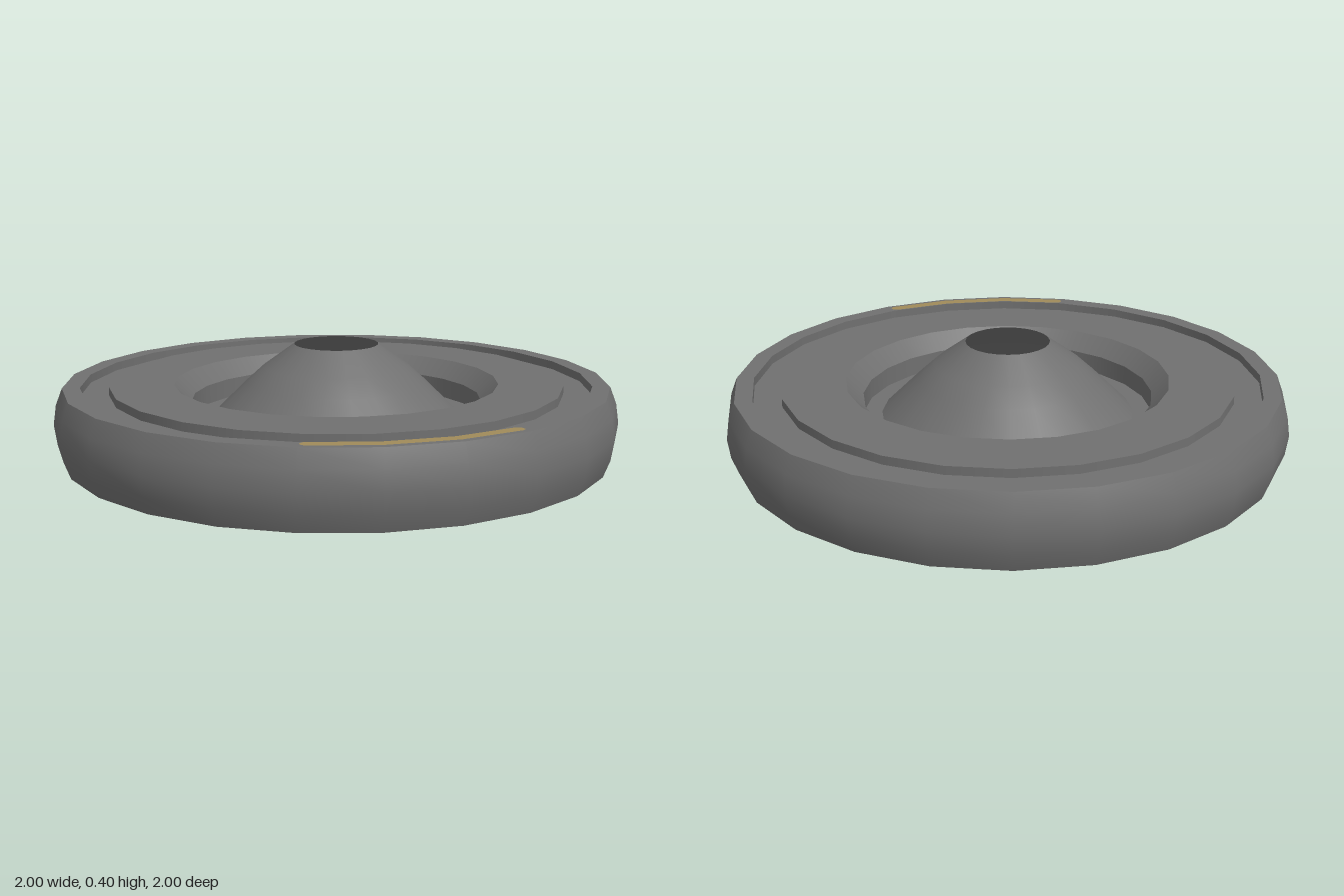
import * as THREE from 'three';

const SIDES = 24;
const STEP = (2 * Math.PI) / SIDES;

function makeMaterial(name, color) {
  const material = new THREE.MeshStandardMaterial({ color, side: THREE.DoubleSide });
  material.name = name;
  return material;
}

// Sweeps each profile piece separately so the edges between pieces stay sharp.
function latheGroup(name, pieces, material) {
  const group = new THREE.Group();
  group.name = name;
  for (const [part, points] of Object.entries(pieces)) {
    const profile = points.map(([r, y]) => new THREE.Vector2(r, y));
    const mesh = new THREE.Mesh(new THREE.LatheGeometry(profile, SIDES), material);
    mesh.name = part;
    group.add(mesh);
  }
  return group;
}

// Flat horizontal plate; outline points are (x, -z).
function plate(name, outline, y, material, faceUp) {
  const geometry = new THREE.ShapeGeometry(new THREE.Shape(outline));
  geometry.rotateX(-Math.PI / 2);
  if (!faceUp) {
    geometry.index.array.reverse();
    geometry.attributes.normal.array.forEach((n, i, all) => { all[i] = -n; });
  }
  const mesh = new THREE.Mesh(geometry, material);
  mesh.name = name;
  mesh.position.y = y;
  return mesh;
}

// Point at an angle measured from the front (+z) towards +x
const at = (r, a) => new THREE.Vector2(r * Math.sin(a), -r * Math.cos(a));

export function createModel() {
  const grey = makeMaterial('grey', 0x707070);
  const lightGrey = makeMaterial('lightGrey', 0x979797);
  const tan = makeMaterial('tan', 0xa08b5a);

  const model = new THREE.Group();
  model.name = 'wheel';

  // Outer ring with bulging tread and a shallow groove on its face
  model.add(latheGroup('outerRing', {
    tread: [[0.967, 0], [0.99, 0.06], [1, 0.13], [0.99, 0.2], [0.967, 0.26]],
    rimFace: [[0.967, 0.26], [0.905, 0.26]],
    grooveOuterWall: [[0.905, 0.26], [0.905, 0.23]],
    grooveFloor: [[0.905, 0.23], [0.805, 0.23]],
    grooveInnerWall: [[0.805, 0.23], [0.805, 0.26]],
    innerFace: [[0.805, 0.26], [0.577, 0.26]],
    underside: [[0.577, 0], [0.967, 0]],
  }, grey));

  // Hub: bevelled recess, flat ledge and hollow, open-topped cone
  model.add(latheGroup('hub', {
    bevel: [[0.577, 0.26], [0.517, 0.2]],
    recessWall: [[0.517, 0.2], [0.517, 0.13]],
    ledge: [[0.517, 0.13], [0.452, 0.13]],
    cone: [[0.452, 0.13], [0.32, 0.26], [0.26, 0.315], [0.15, 0.395]],
  }, grey));

  // Lighter walls of the narrow gap around the base plate
  model.add(latheGroup('baseGap', {
    boreWall: [[0.577, 0.2], [0.577, 0]],
    baseWall: [[0.517, 0], [0.517, 0.13]],
  }, lightGrey));

  // Base plate: a broad dark band between two lighter segments
  const rim = (from, to) => {
    const points = [];
    for (let i = from; i <= to; i++) points.push(at(0.517, i * STEP));
    return points;
  };
  model.add(plate('baseBand', [...rim(4, 9), ...rim(16, 21)], 0, grey, false));
  model.add(plate('baseSegmentFront', rim(-3, 4), 0, lightGrey, false));
  model.add(plate('baseSegmentBack', rim(9, 16), 0, lightGrey, false));

  // Painted arc with rounded ends, following the rim facets
  const mid = 0.926, half = 0.021, inset = half / mid;
  const angles = [inset, STEP, 2 * STEP, 3 * STEP - inset];
  const outline = angles.map((a) => at(mid + half, a));
  const cap = (a, sign) => {
    for (let i = 1; i < 6; i++) {
      const t = (i / 6) * Math.PI;
      outline.push(at(mid + sign * half * Math.cos(t), a + sign * inset * Math.sin(t)));
    }
  };
  cap(angles[3], 1);
  outline.push(...angles.map((a) => at(mid - half, a)).reverse());
  cap(angles[0], -1);
  model.add(plate('rimStripe', outline, 0.2615, tan, true));

  return model;
}
